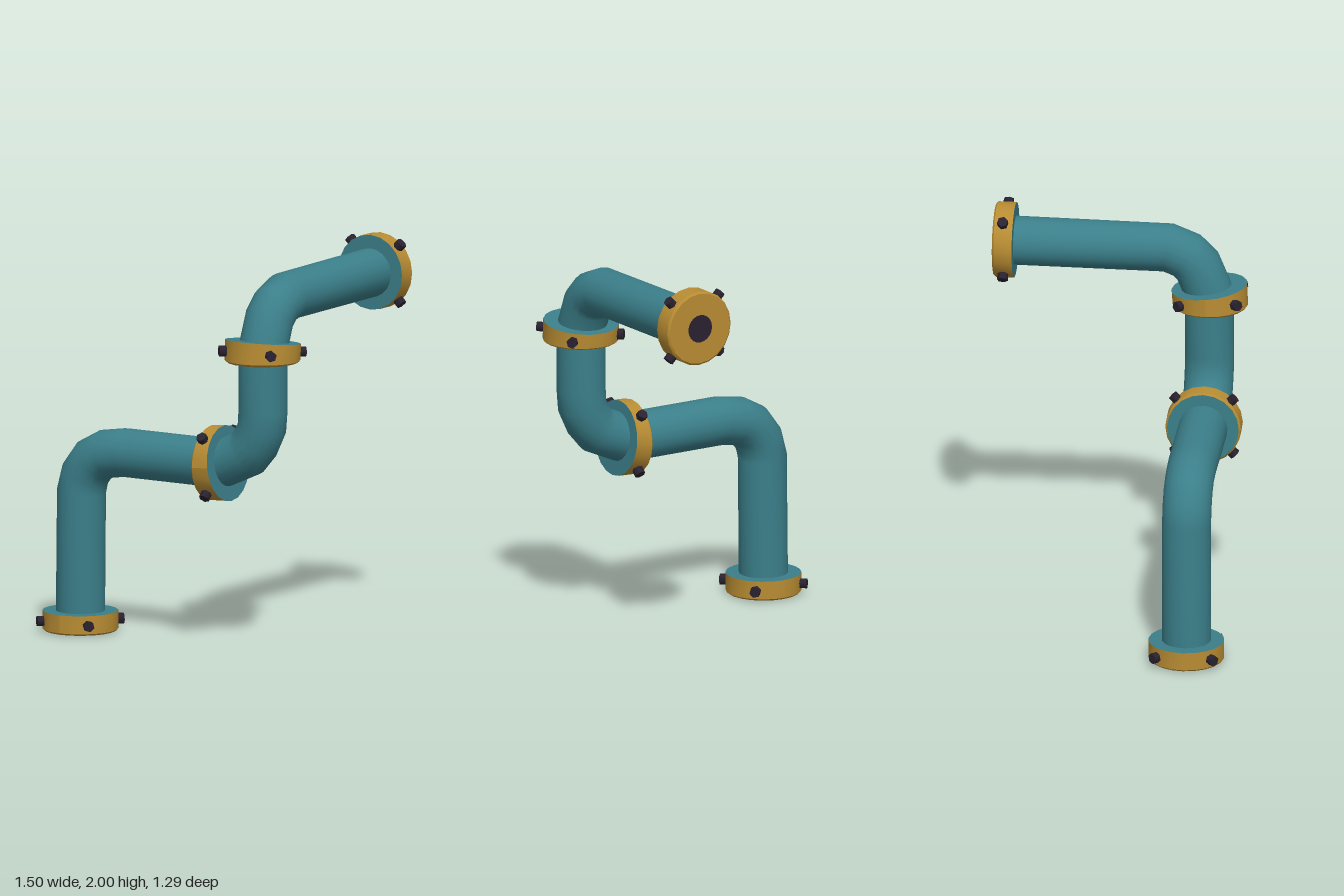
import * as THREE from 'three';

const SIDES = 20, PIPE_R = 0.125, FLANGE_R = 0.193, FLANGE_H = 0.105;
const V = (x, y, z) => new THREE.Vector3(x, y, z);

const mat = (name, color) => {
  const m = new THREE.MeshStandardMaterial({ color });
  m.name = name;
  return m;
};

// Sweep a circle along a few centre points, turning the frame with the path
function sweep(points, radius) {
  const pos = [], index = [], n = points.length;
  let prev = null, side = null;
  points.forEach((p, i) => {
    const before = p.clone().sub(points[Math.max(i - 1, 0)]).normalize();
    const after = points[Math.min(i + 1, n - 1)].clone().sub(p).normalize();
    const t = before.add(after).normalize();
    if (!prev) side = Math.abs(t.x) < 0.9 ? V(1, 0, 0) : V(0, 0, 1);
    else side.applyQuaternion(new THREE.Quaternion().setFromUnitVectors(prev, t));
    side.addScaledVector(t, -side.dot(t)).normalize();
    prev = t;
    const up = t.clone().cross(side);
    for (let j = 0; j < SIDES; j++) {
      const a = (j / SIDES) * Math.PI * 2;
      const q = p.clone().addScaledVector(side, Math.cos(a) * radius)
        .addScaledVector(up, Math.sin(a) * radius);
      pos.push(q.x, q.y, q.z);
      if (i < n - 1) {
        const k = (j + 1) % SIDES;
        const a0 = i * SIDES + j, b0 = i * SIDES + k;
        index.push(a0, b0, a0 + SIDES, b0, b0 + SIDES, a0 + SIDES);
      }
    }
  });
  const g = new THREE.BufferGeometry();
  g.setAttribute('position', new THREE.Float32BufferAttribute(pos, 3));
  g.setIndex(index);
  g.computeVertexNormals();
  return g;
}

export function createModel() {
  const model = new THREE.Group();
  model.name = 'bentPipe';
  const teal = mat('tealPaint', 0x3b7f8a);
  const gold = mat('brass', 0xb88c33);
  const dark = mat('darkIron', 0x2a2230);

  const add = (parent, name, geometry, material) => {
    const m = new THREE.Mesh(geometry, material);
    m.name = name;
    parent.add(m);
    return m;
  };

  // Pipe sections
  const sections = {
    lowerPipe: [V(-0.56, 0.02, 0.45), V(-0.553, 0.72, 0.45), V(-0.53, 0.81, 0.45),
      V(-0.475, 0.885, 0.45), V(-0.4, 0.925, 0.45), V(-0.285, 0.942, 0.45), V(0.3, 0.942, 0.45)],
    middlePipe: [V(0.25, 0.942, 0.45), V(0.31, 0.947, 0.45), V(0.455, 1.01, 0.45),
      V(0.505, 1.07, 0.45), V(0.544, 1.15, 0.45), V(0.55, 1.24, 0.45), V(0.55, 1.54, 0.45)],
    upperPipe: [V(0.55, 1.5, 0.452), V(0.55, 1.57, 0.445), V(0.55, 1.705, 0.39),
      V(0.55, 1.76, 0.335), V(0.55, 1.798, 0.24), V(0.55, 1.806, -0.62)],
  };
  for (const [name, pts] of Object.entries(sections)) add(model, name, sweep(pts, PIPE_R), teal);

  // Flange: bevelled brass rim, painted face and four radial bolts.
  // dir is its axis, high the side on which a wedge-shaped flange is thicker.
  function flange(name, at, dir, high, wedge, backMaterial, open) {
    const g = new THREE.Group();
    g.name = name;
    g.position.copy(at);
    g.quaternion.setFromRotationMatrix(
      new THREE.Matrix4().makeBasis(high, dir, high.clone().cross(dir)));
    const bend = (geo) => {
      const p = geo.attributes.position;
      for (let i = 0; i < p.count; i++) {
        const x = p.getX(i), y = p.getY(i);
        p.setX(i, x - wedge * 0.05 * y);
        p.setY(i, y * (1 + wedge * x));
      }
      geo.computeVertexNormals();
      return geo;
    };
    const band = (r0, r1, y0, y1) => bend(
      new THREE.CylinderGeometry(r1, r0, y1 - y0, SIDES, 1, true).translate(0, (y0 + y1) / 2, 0));
    const disc = (r, y, down) => bend(
      new THREE.CircleGeometry(r, SIDES).rotateX(down ? Math.PI / 2 : -Math.PI / 2).translate(0, y, 0));

    add(g, 'flangeBevel', band(FLANGE_R - 0.01, FLANGE_R, 0.003, 0.012), gold);
    add(g, 'flangeRim', band(FLANGE_R, FLANGE_R, 0.012, FLANGE_H), gold);
    add(g, 'flangeBack', disc(FLANGE_R - 0.01, 0.003, true), backMaterial);
    add(g, 'flangeFace', disc(FLANGE_R, FLANGE_H, false), teal);
    if (open) add(g, 'pipeOpening', disc(0.072, 0, true), dark);

    for (let i = 0; i < 4; i++) {
      const a = Math.PI / 4 + (i * Math.PI) / 2;
      const out = V(Math.cos(a), 0, Math.sin(a));
      const bolt = add(g, 'bolt', new THREE.CylinderGeometry(0.028, 0.028, 0.05, 6), dark);
      bolt.quaternion.setFromUnitVectors(V(0, 1, 0), out);
      bolt.position.copy(out).multiplyScalar(0.2);
      bolt.position.y = 0.055 * (1 + wedge * bolt.position.x);
    }
    model.add(g);
  }

  flange('baseFlange', V(-0.56, 0, 0.45), V(0, 1, 0), V(1, 0, 0), 0, gold, true);
  flange('lowerJoint', V(0.232, 0.942, 0.45), V(1, 0, 0), V(0, -1, 0), 1.1, teal, false);
  flange('upperJoint', V(0.55, 1.49, 0.455), V(0, 1, 0), V(0, 0, 1), 1.1, gold, false);
  flange('endFlange', V(0.55, 1.807, -0.645), V(0, 0, 1), V(1, 0, 0), 0, gold, true);
  return model;
}
